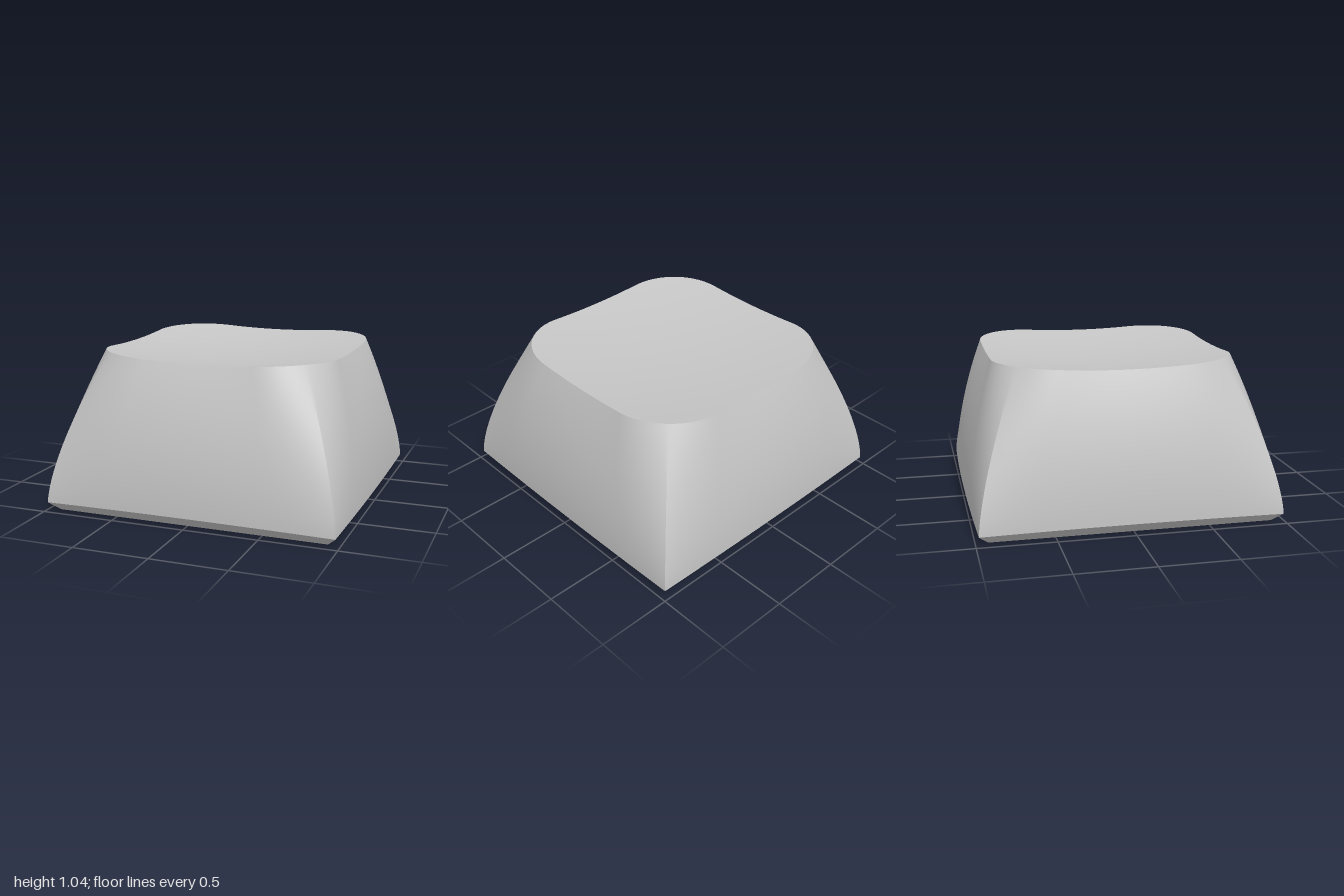
import * as THREE from 'three';
import { toCreasedNormals } from 'three/addons/utils/BufferGeometryUtils.js';

const SEG = 96; // samples along each of the four sides

// One side of a rounded square: u runs -1..1 from corner to corner.
// Returns [distance along the side, distance out from the centre].
function roundedSide(u, half, radius) {
  const flat = half - radius;
  const s = Math.abs(u) * (flat + radius * Math.PI / 4);
  if (s <= flat) return [Math.sign(u) * s, half];
  const t = (s - flat) / radius;
  return [Math.sign(u) * (flat + radius * Math.sin(t)), flat + radius * Math.cos(t)];
}

// Four-sided loft: section(u, v) gives [along, out, y, shift] for one side,
// which is turned to all four sides; shift moves the section to the top's centre.
function loft(rows, section) {
  const pos = [], index = [], n = 4 * (SEG + 1);
  for (let r = 0; r <= rows; r++) {
    for (let k = 0; k < 4; k++) {
      const s = Math.round(Math.sin(k * Math.PI / 2)), c = Math.round(Math.cos(k * Math.PI / 2));
      for (let i = 0; i <= SEG; i++) {
        const [a, d, y, shift = 0] = section(2 * i / SEG - 1, r / rows);
        pos.push(a * c + d * s + 0.01 * shift, y, d * c - a * s - 0.02 * shift);
      }
    }
  }
  for (let r = 0; r < rows; r++) {
    for (let k = 0; k < 4; k++) {
      for (let i = 0; i < SEG; i++) {
        const p = r * n + k * (SEG + 1) + i;
        index.push(p, p + 1, p + n + 1, p, p + n + 1, p + n);
      }
    }
  }
  const g = new THREE.BufferGeometry();
  g.setAttribute('position', new THREE.Float32BufferAttribute(pos, 3));
  g.setIndex(index);
  return toCreasedNormals(g, 0.35);
}

// Outlines and height rules
const mix = THREE.MathUtils.lerp;
const topEdge = (u) => roundedSide(u, 0.795, 0.42);
const lowEdge = (u) => [0.98 * u, 1 - 0.02 * u * u, 0.075 - 0.015 * u * u];
const opening = (u) => roundedSide(u, 0.83, 0.1);
const wallTop = (u) => [...opening(u).map((q) => q * 0.97), 0.43 - 0.15 * u ** 4];
const ceilingEdge = (u) => roundedSide(u, 0.63, 0.3);
const dishY = (a, d) => 0.96 + 0.085 * (a * a + d * d);
const ceilingY = (a, d) => dishY(a, d) - 0.17;

export function createModel() {
  const group = new THREE.Group();
  const plastic = new THREE.MeshStandardMaterial({ color: 0xc6c6c6 });
  plastic.name = 'grey plastic';
  const add = (name, geometry, parent = group) => {
    const mesh = new THREE.Mesh(geometry, plastic);
    mesh.name = name;
    parent.add(mesh);
    return mesh;
  };

  // Bulging skirt: sharp bowed square below, rounded square above
  add('skirt', loft(28, (u, v) => {
    const [a0, d0, y0] = lowEdge(u), [a1, d1] = topEdge(u);
    const w = Math.pow(v, 2 - 0.55 * u * u);
    return [mix(a0, a1, w), mix(d0, d1, w), mix(y0, dishY(a1, d1), v), w];
  }));

  // Dished top
  add('dishedTop', loft(12, (u, v) => {
    const [a, d] = topEdge(u).map((q) => q * (1 - v));
    return [a, d, dishY(a, d), 1];
  }));

  // Chamfer below the skirt and the flat rim it stands on
  add('lowerChamfer', loft(1, (u, v) => {
    const [a, d, y] = lowEdge(u);
    return [mix(0.92 * u, a, v), mix(0.92, d, v), y * v];
  }));
  add('bottomRim', loft(1, (u, v) => {
    const [a, d] = opening(u);
    return [mix(a, 0.92 * u, v), mix(d, 0.92, v), 0];
  }));

  // Hollow inside: low walls, then a slope following the skirt up to the ceiling
  add('innerWalls', loft(4, (u, v) => {
    const [a0, d0, y0] = wallTop(u), [a1, d1] = opening(u);
    return [mix(a0, a1, v), mix(d0, d1, v), y0 * (1 - v)];
  }));
  add('innerSlope', loft(14, (u, v) => {
    const [a0, d0, y0] = wallTop(u), [a1, d1] = ceilingEdge(u);
    const w = Math.pow(1 - v, 1.4);
    return [mix(a0, a1, w), mix(d0, d1, w), mix(ceilingY(a1, d1), y0, v), w];
  }));
  add('innerCeiling', loft(8, (u, v) => {
    const [a, d] = ceilingEdge(u).map((q) => q * v);
    return [a, d, ceilingY(a, d), 1];
  }));

  // Stem with a cross-shaped socket
  const stem = new THREE.Group();
  stem.name = 'stem';
  group.add(stem);
  const tube = [[0.28, 0.01], [0.292, 0.02], [0.3, 0.05], [0.3, 0.8]].map(([x, y]) => new THREE.Vector2(x, y));
  add('stemTube', toCreasedNormals(new THREE.LatheGeometry(tube, 64), 0.7), stem);

  const face = new THREE.Shape().absarc(0, 0, 0.28, 0, Math.PI * 2);
  const L = 0.245, W = 0.075, cross = [];
  for (let k = 0; k < 4; k++) {
    const c = Math.cos(k * Math.PI / 2), s = Math.sin(k * Math.PI / 2);
    for (const [x, y] of [[L, -W], [L, W], [W, W]]) {
      cross.push(new THREE.Vector2(x * c - y * s, x * s + y * c));
    }
  }
  face.holes.push(new THREE.Path(cross.reverse()));
  const socket = new THREE.ExtrudeGeometry(face, { depth: 0.44, bevelEnabled: false, curveSegments: 32 });
  socket.rotateX(-Math.PI / 2).translate(0, 0.01, 0);
  add('crossSocket', socket, stem);

  const plug = add('socketEnd', new THREE.CylinderGeometry(0.29, 0.29, 0.35, 48), stem);
  plug.position.y = 0.625;

  return group;
}
